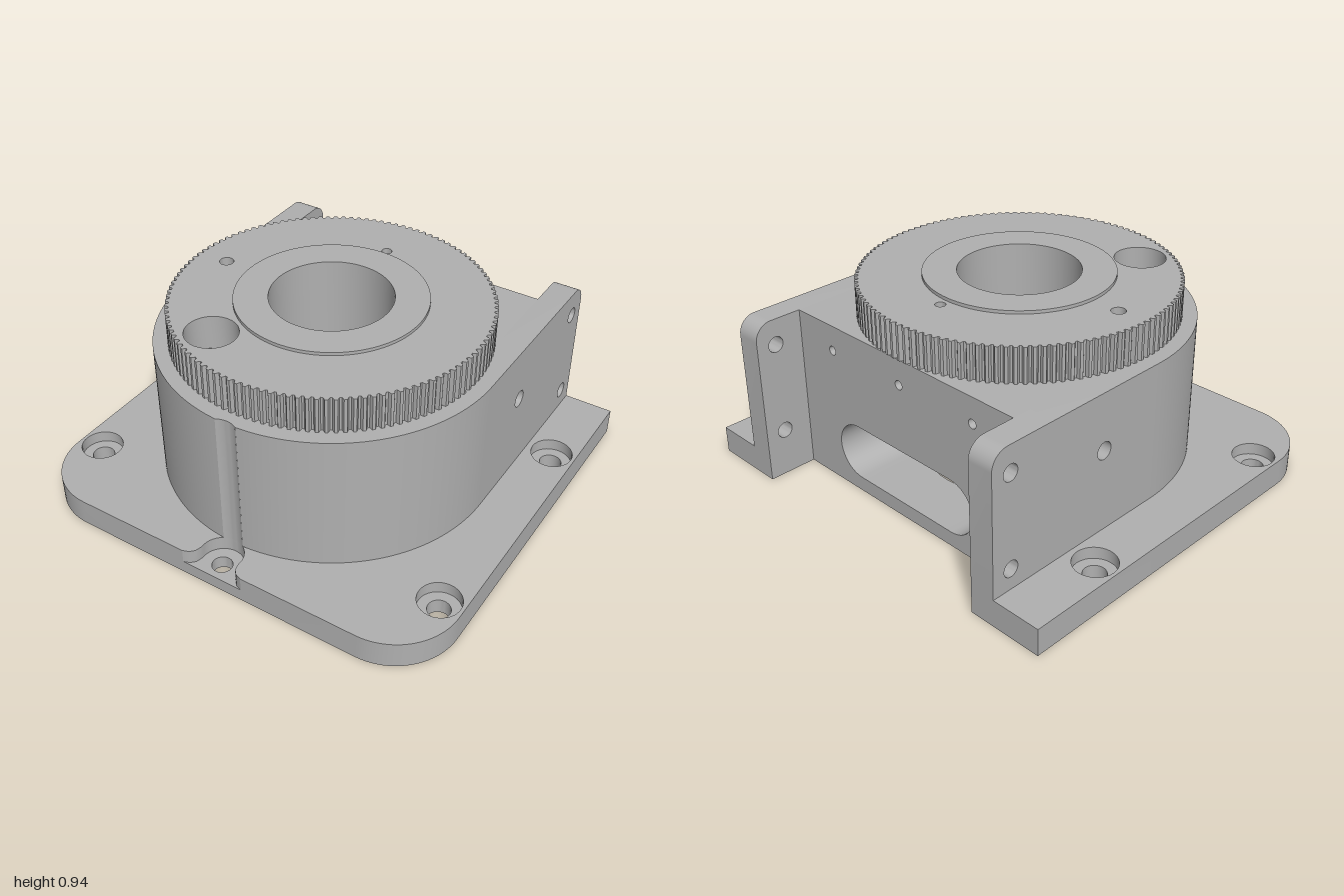
import * as THREE from 'three';
import { toCreasedNormals } from 'three/addons/utils/BufferGeometryUtils.js';

const metal = new THREE.MeshStandardMaterial({ color: 0xb0b0b0, side: THREE.DoubleSide });
metal.name = 'grey metal';

// Plan points are Vector2 (x, z).
const P = (x, z) => new THREE.Vector2(x, z);
const mirror = pts => pts.map(p => P(-p.x, p.y));

function arc(cx, cz, r, a0, a1, n) {
  return Array.from({ length: n + 1 }, (_, i) => {
    const a = a0 + (a1 - a0) * i / n;
    return P(cx + r * Math.cos(a), cz + r * Math.sin(a));
  });
}
const circle = (x, z, r, n = 32) => arc(x, z, r, 0, 2 * Math.PI * (n - 1) / n, n - 1);

export function createModel() {
  const model = new THREE.Group();
  const add = (name, geo) => {
    const mesh = new THREE.Mesh(geo, metal);
    mesh.name = name;
    model.add(mesh);
    return mesh;
  };

  // Skin between two matching rows of points
  const strip = (name, A, B, closed, crease = 0.5) => {
    const pos = [];
    const n = A.length;
    for (let i = 0; i < (closed ? n : n - 1); i++) {
      const j = (i + 1) % n;
      for (const v of [A[i], B[i], A[j], A[j], B[i], B[j]]) pos.push(v.x, v.y, v.z);
    }
    const geo = new THREE.BufferGeometry();
    geo.setAttribute('position', new THREE.Float32BufferAttribute(pos, 3));
    return add(name, toCreasedNormals(geo, crease));
  };
  // Upright wall over a plan outline; heights are numbers or functions of the point
  const wall = (name, pts, y0, y1, closed = false, crease = 0.5) => {
    const row = h => pts.map(p => new THREE.Vector3(p.x, typeof h === 'function' ? h(p) : h, p.y));
    return strip(name, row(y0), row(y1), closed, crease);
  };
  // Level face with holes, facing up or down
  const flat = (name, pts, holes, y, up = true) => {
    const map = a => a.map(p => P(p.x, up ? -p.y : p.y));
    const shape = new THREE.Shape(map(pts));
    shape.holes = holes.map(h => new THREE.Path(map(h)));
    const geo = new THREE.ShapeGeometry(shape).rotateX(up ? -Math.PI / 2 : Math.PI / 2);
    return add(name, geo.translate(0, y, 0));
  };
  const bore = (name, x, z, r, y0, y1) => wall(name, circle(x, z, r), y0, y1, true);

  const T = 0.125, H = 0.77, GEAR = 0.93, BOSS = 0.945, CEIL = 0.38, BACK = -0.70, REAR = -0.93, FRONT = 0.925;

  // Shared outlines
  const groove = arc(0, 0.85, 0.095, -Math.PI / 2 + 0.554, -Math.PI / 2 - 0.554, 12);
  const bodyArc = arc(0, 0, H, 0, Math.PI / 2 - 0.0646, 48);
  const flare = [P(0.15, FRONT), P(0.122, 0.915), P(0.103, 0.895), P(0.095, 0.865)];
  const pocketSide = [...flare, ...arc(0, 0.85, 0.095, 0, -Math.PI / 2 + 0.554, 10)];
  const pocket = [...pocketSide, ...groove.slice(1, -1), ...mirror(pocketSide).reverse()];
  const plateSide = [P(0.65, BACK), P(0.65, REAR), P(1, REAR), ...arc(0.7, 0.625, 0.3, 0, Math.PI / 2, 20), P(0.15, FRONT)];
  const corners = [[0.89, -0.49], [0.89, 0.585], [-0.89, -0.49], [-0.89, 0.585]];
  const blind = [[0.62, -0.62], [0.52, 0.22], [-0.48, 0.22], [0.02, 0.54]];

  // Central cavity outline with a side lobe for the offset shaft
  const lobe = P(-0.275, 0.48), R = 0.45;
  const cavity = Array.from({ length: 160 }, (_, i) => {
    const a = i * Math.PI / 80, d = a - lobe.angle(), s = lobe.length() * Math.sin(d);
    let r = R;
    if (Math.cos(d) > 0 && Math.abs(s) < 0.12) r = Math.max(R, lobe.length() * Math.cos(d) + Math.sqrt(0.0144 - s * s));
    return P(r * Math.cos(a), r * Math.sin(a));
  });

  // Base plate
  flat('base underside', [...plateSide, ...mirror(plateSide).reverse()], [
    cavity, ...corners.map(c => circle(...c, 0.05)), circle(0, 0.85, 0.045),
    circle(-0.555, 0, 0.032), ...blind.map(c => circle(...c, 0.032))], 0, false);
  for (const s of [1, -1]) {
    const side = a => s > 0 ? a : mirror(a);
    wall('base edge', side(plateSide), 0, T);
    const top = [...plateSide.slice(2), ...pocketSide.slice(1), ...bodyArc.slice(0, -1).reverse(), P(0.77, REAR)];
    const cuts = corners.slice(0, 2).map(c => circle(...c, 0.095));
    flat('base top', side(top), cuts.map(side), T);
  }
  for (const c of corners) {
    bore('screw hole', ...c, 0.05, 0, 0.07);
    bore('screw counterbore', ...c, 0.095, 0.07, T);
    flat('counterbore seat', circle(...c, 0.095), [circle(...c, 0.05)], 0.07);
  }
  for (const c of blind) {
    bore('underside hole', ...c, 0.032, 0, 0.1);
    flat('underside hole end', circle(...c, 0.032), [], 0.1, false);
  }

  // Front screw pocket
  wall('pocket wall', pocket, 0.06, T);
  flat('pocket floor', pocket, [circle(0, 0.85, 0.045)], 0.06);
  wall('pocket sill', [P(0.15, FRONT), P(-0.15, FRONT)], 0, 0.06);
  bore('front screw hole', 0, 0.85, 0.045, 0, 0.06);

  // Housing
  wall('housing right curve', mirror(bodyArc), T, H);
  wall('housing left curve', bodyArc, T, H);
  wall('front groove', groove, T, H);
  flat('housing top', [P(-0.65, BACK), P(0.65, BACK), P(0.65, 0), ...bodyArc, ...groove.slice(1, -1),
    ...mirror(bodyArc).reverse(), P(-0.65, 0)],
  [circle(0, 0, 0.27, 64), circle(lobe.x, lobe.y, 0.068), circle(-0.555, 0, 0.032)], H);

  // Side panels running back into mounting ears
  for (const s of [1, -1]) {
    const shape = new THREE.Shape([P(0, T), P(0.93, T), ...arc(0.85, H - 0.08, 0.08, 0, Math.PI / 2, 10), P(0, H)]);
    for (const [u, y, r] of [[0.835, 0.22, 0.037], [0.835, 0.65, 0.037], [0.315, 0.505, 0.04]]) {
      shape.holes.push(new THREE.Path(circle(u, y, r)));
    }
    const geo = new THREE.ExtrudeGeometry(shape, { depth: 0.12, bevelEnabled: false });
    geo.rotateY(Math.PI / 2).translate(s > 0 ? 0.65 : -0.77, 0, 0);
    add('side panel', toCreasedNormals(geo, 0.5));
    const end = add('side hole end', new THREE.CircleGeometry(0.04, 24));
    end.rotation.y = s * Math.PI / 2;
    end.position.set(s * 0.655, 0.505, -0.315);
  }

  // Back wall with slot and three small holes
  const SY = 0.2, SR = 0.13, SX = 0.29;
  const slot = [...arc(SX, SY, SR, -Math.PI / 2, Math.PI / 2, 20),
    ...Array.from({ length: 11 }, (_, i) => P(SX - 2 * SX * (i + 1) / 12, SY + SR)),
    ...arc(-SX, SY, SR, Math.PI / 2, Math.PI * 1.5, 20),
    ...Array.from({ length: 11 }, (_, i) => P(-SX + 2 * SX * (i + 1) / 12, SY - SR))];
  const backShape = new THREE.Shape([P(-0.65, 0), P(0.65, 0), P(0.65, H), P(-0.65, H)]);
  backShape.holes.push(new THREE.Path(slot));
  for (const x of [-0.43, 0, 0.43]) {
    backShape.holes.push(new THREE.Path(circle(x, 0.65, 0.021, 20)));
    const row = z => circle(x, 0.65, 0.021, 20).map(p => new THREE.Vector3(p.x, p.y, z));
    strip('back hole', row(BACK), row(BACK + 0.1), true);
    add('back hole end', new THREE.CircleGeometry(0.021, 20).rotateY(Math.PI).translate(x, 0.65, BACK + 0.1));
  }
  // Mirrored in x by the half turn, which leaves this symmetric outline unchanged
  add('back wall', new THREE.ShapeGeometry(backShape).rotateY(Math.PI).translate(0, 0, BACK));
  strip('slot tunnel', slot.map(p => new THREE.Vector3(p.x, p.y, BACK)),
    slot.map(p => new THREE.Vector3(p.x, p.y, -Math.sqrt(R * R - p.x * p.x))), true);

  // Cavity walls leave the slot open at the back
  const open = p => {
    const over = Math.max(0, Math.abs(p.x) - SX);
    return p.y < 0 && over < SR ? Math.sqrt(SR * SR - over * over) : 0;
  };
  wall('cavity lower wall', cavity, 0, p => SY - open(p), true);
  wall('cavity upper wall', cavity, p => SY + open(p), CEIL, true);
  flat('cavity ceiling', cavity, [circle(0, 0, 0.27, 64), circle(lobe.x, lobe.y, 0.068)], CEIL, false);

  // Toothed ring
  const TEETH = 120, teeth = [];
  for (let i = 0; i < TEETH; i++) {
    for (const [f, r] of [[0, 0.69], [0.25, 0.69], [0.45, 0.706], [0.8, 0.706]]) {
      const a = (i + f) / TEETH * Math.PI * 2;
      teeth.push(P(r * Math.cos(a), r * Math.sin(a)));
    }
  }
  wall('gear teeth', teeth, H, GEAR, true, 0.1);
  flat('gear top', teeth, [circle(0, 0, 0.42, 96), circle(lobe.x, lobe.y, 0.115),
    circle(-0.555, 0, 0.032), circle(0, -0.46, 0.023)], GEAR);
  bore('shaft counterbore', lobe.x, lobe.y, 0.115, H, GEAR);
  bore('shaft hole', lobe.x, lobe.y, 0.068, CEIL, H);
  bore('pin through hole', -0.555, 0, 0.032, 0, GEAR);
  bore('pin hole', 0, -0.46, 0.023, H, GEAR);

  // Raised centre ring and main bore
  wall('centre ring edge', circle(0, 0, 0.42, 96), GEAR, BOSS, true);
  flat('centre ring top', circle(0, 0, 0.42, 96), [circle(0, 0, 0.27, 64)], BOSS);
  wall('main bore', circle(0, 0, 0.27, 64), CEIL, BOSS, true);

  return model;
}
